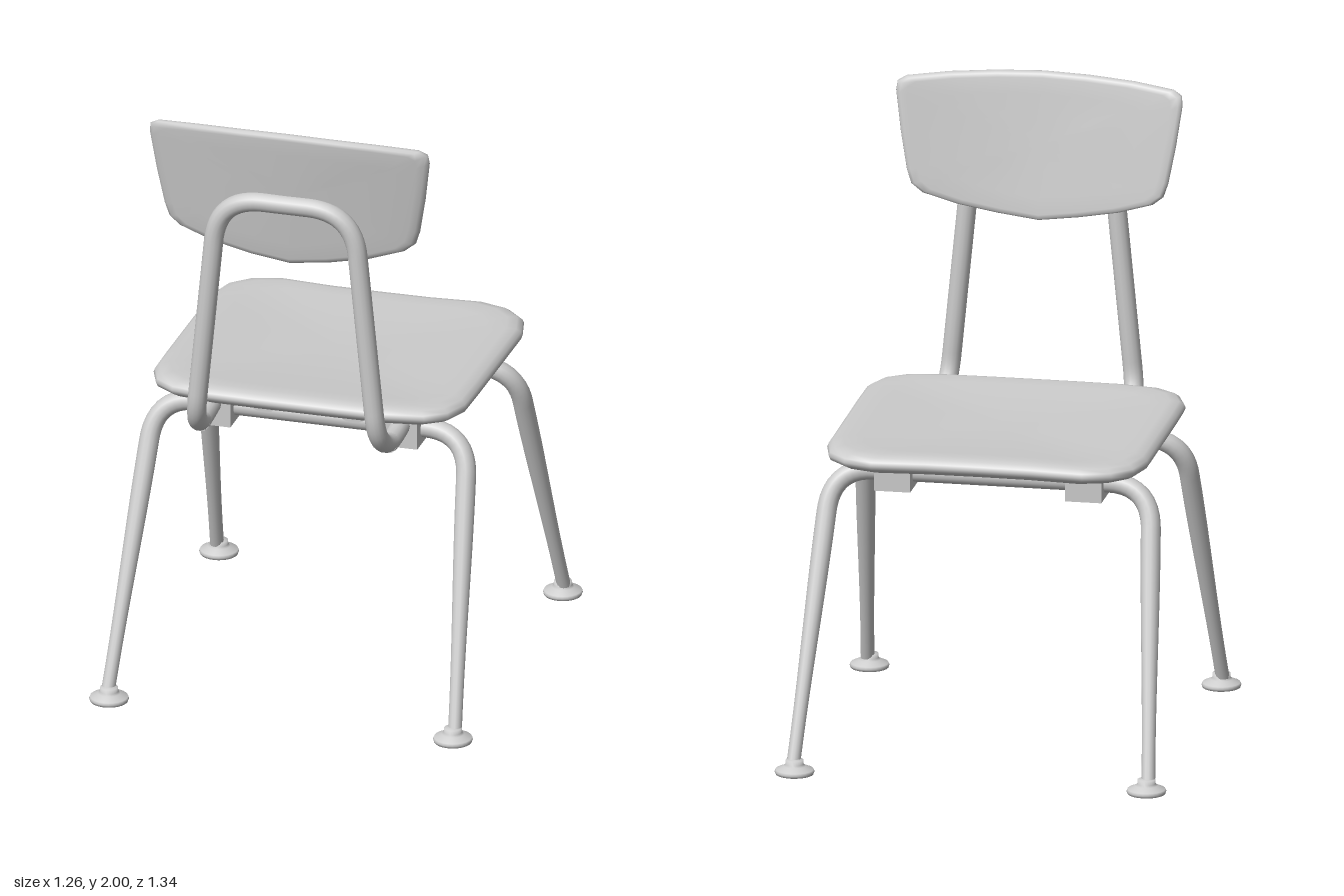
import * as THREE from 'three';
import { mergeVertices } from 'three/addons/utils/BufferGeometryUtils.js';

const material = new THREE.MeshStandardMaterial({ color: 0xcccccc });
const V = (x, y, z) => new THREE.Vector3(x, y, z);

function add(parent, name, geometry, x = 0, y = 0, z = 0) {
  const mesh = new THREE.Mesh(geometry, material);
  mesh.name = name;
  mesh.position.set(x, y, z);
  parent.add(mesh);
  return mesh;
}

// Closed, soft-edged slab: a mirrored outline (u, v), scaled ring by ring through
// a [scale, height] profile, then put into space by place(u, v, height).
function slab(half, centreV, profile, place) {
  const outline = [...half, ...half.slice(1, -1).reverse().map(([u, v]) => [-u, v])];
  const n = outline.length, position = [], index = [];
  profile.forEach(([s, t], r) => outline.forEach(([u, v], j) => {
    position.push(...place(u * s, centreV + (v - centreV) * s, t));
    if (r === profile.length - 1) return;
    const a = r * n + j, b = r * n + (j + 1) % n;
    index.push(a, b, a + n, b, b + n, a + n);
  }));
  const g = new THREE.BufferGeometry();
  g.setAttribute('position', new THREE.Float32BufferAttribute(position, 3));
  g.setIndex(index);
  const merged = mergeVertices(g);
  merged.computeVertexNormals();
  return merged;
}

// Straight runs joined by rounded corners; each point is [x, y, z, bend length]
function bentPath(points) {
  const path = new THREE.CurvePath();
  let last = V(...points[0].slice(0, 3));
  for (let i = 1; i < points.length; i++) {
    const p = V(...points[i].slice(0, 3));
    if (i === points.length - 1) {
      path.add(new THREE.LineCurve3(last, p));
      break;
    }
    const next = V(...points[i + 1].slice(0, 3)), bend = points[i][3];
    const from = p.clone().add(last.clone().sub(p).setLength(bend));
    const to = p.clone().add(next.clone().sub(p).setLength(bend));
    path.add(new THREE.LineCurve3(last, from));
    path.add(new THREE.QuadraticBezierCurve3(from, p, to));
    last = to;
  }
  return path;
}

// Tube whose radius follows the height of its centre line
function tube(path, radiusAt, segments = 90, sides = 14) {
  const g = new THREE.TubeGeometry(path, segments, 1, sides);
  const pos = g.attributes.position, v = V(0, 0, 0);
  for (let i = 0; i < pos.count; i++) {
    const c = path.getPointAt(Math.floor(i / (sides + 1)) / segments);
    v.fromBufferAttribute(pos, i).sub(c).multiplyScalar(radiusAt(c.y)).add(c);
    pos.setXYZ(i, v.x, v.y, v.z);
  }
  return g;
}

export function createModel() {
  const chair = new THREE.Group();
  chair.name = 'chair';

  // Seat: rounded square with a shallow dish
  const seatHalf = [[0, 0.502], [0.17, 0.504], [0.34, 0.517], [0.43, 0.49], [0.49, 0.43], [0.515, 0.33],
    [0.515, 0.16], [0.515, 0], [0.515, -0.15], [0.513, -0.29], [0.48, -0.375], [0.415, -0.422],
    [0.29, -0.442], [0.14, -0.445], [0, -0.445]];
  const seatProfile = [[0, 1.012], [0.3, 1.013], [0.6, 1.019], [0.8, 1.027], [0.91, 1.03], [0.965, 1.024],
    [0.992, 1.012], [1, 1.0], [0.99, 0.987], [0.955, 0.975], [0.9, 0.971], [0, 0.971]];
  add(chair, 'seat', slab(seatHalf, 0.03, seatProfile, (u, v, t) => [u, t - 0.012 * v, -v]));

  // Backrest: leaning panel with its ends curved forward
  const backHalf = [[0, 2], [0.15, 1.996], [0.3, 1.988], [0.43, 1.975], [0.456, 1.96], [0.46, 1.93],
    [0.442, 1.8], [0.42, 1.68], [0.405, 1.635], [0.37, 1.607], [0.26, 1.572], [0.13, 1.547], [0, 1.53]];
  const backProfile = [[0, 0.018], [0.35, 0.018], [0.7, 0.018], [0.92, 0.018], [0.97, 0.015], [0.993, 0.008],
    [1, 0], [0.993, -0.008], [0.97, -0.015], [0.92, -0.018], [0.7, -0.018], [0.35, -0.018], [0, -0.018]];
  add(chair, 'backrest', slab(backHalf, 1.77, backProfile,
    (u, v, t) => [u, v, 0.502 + 0.15 * (v - 1.53) - 0.25 * u * u + t]));

  // Back support: one bent tube from under the seat, up and over
  const side = [[0.31, 0.95, 0.22, 0], [0.31, 0.925, 0.42, 0.05], [0.302, 0.935, 0.552, 0.13], [0.222, 1.75, 0.555, 0.15]];
  const other = side.map(([x, ...rest]) => [-x, ...rest]).reverse();
  add(chair, 'backSupport', tube(bentPath([...side, ...other]), () => 0.031, 140));

  // Legs: each pair is one tube crossing under the seat, tapering to the floor
  const taper = (y) => 0.022 + 0.01 * THREE.MathUtils.smoothstep(y, 0.1, 0.75);
  for (const [name, s] of [['frontLegs', -1], ['rearLegs', 1]]) {
    add(chair, name, tube(bentPath([
      [0.57, 0.03, 0.602 * s], [0.512, 0.91, 0.262 * s, 0.14],
      [-0.512, 0.91, 0.262 * s, 0.14], [-0.57, 0.03, 0.602 * s],
    ]), taper, 120));
  }

  // Feet: flared glides
  const footProfile = [[0, 0.006], [0.052, 0.004], [0.06, 0], [0.063, 0.008], [0.06, 0.015], [0.035, 0.026],
    [0.029, 0.032], [0.028, 0.046], [0, 0.048]].map(([r, y]) => new THREE.Vector2(r, y));
  for (const x of [-0.565, 0.565]) for (const z of [-0.607, 0.607])
    add(chair, 'foot', new THREE.LatheGeometry(footProfile, 24), x, 0, z);

  // Underseat frame: side channels and slim rails between the cross tubes
  for (const s of [-1, 1]) {
    add(chair, 'sideChannel', new THREE.BoxGeometry(0.116, 0.115, 0.66), 0.307 * s, 0.9175, 0);
    const rail = add(chair, 'rail', new THREE.CylinderGeometry(0.04, 0.04, 0.62, 12).rotateX(Math.PI / 2), 0.147 * s, 0.937, 0);
    rail.scale.y = 0.5;
  }
  return chair;
}
